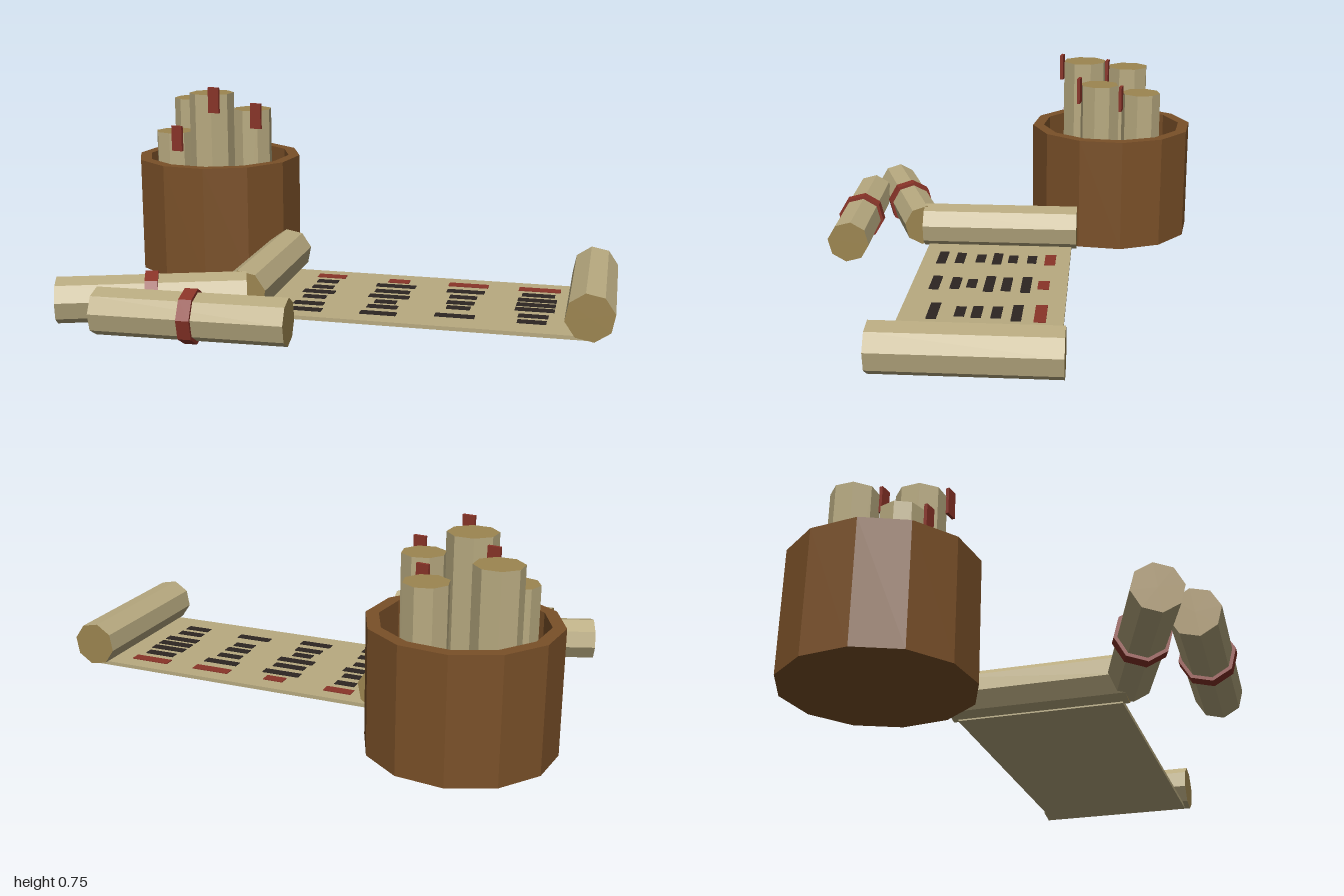
import * as THREE from 'three';

const mat = (color, extra = {}) => new THREE.MeshStandardMaterial({ color, flatShading: true, ...extra });
const paper = mat(0xb8aa80);
const paperEnd = mat(0x9c8550);
const wood = mat(0x7a5028);
const red = mat(0x8a3428);
const ink = mat(0x2c2522);

function add(parent, name, geometry, material, x = 0, y = 0, z = 0) {
  const mesh = new THREE.Mesh(geometry, material);
  mesh.name = name;
  mesh.position.set(x, y, z);
  parent.add(mesh);
  return mesh;
}

// Eight-sided paper roll, upright, with darker ends; spin turns its facets
function roll(radius, length, spin = 0) {
  return new THREE.CylinderGeometry(radius, radius, length, 8).rotateY(spin);
}
const rollMaterials = [paper, paperEnd, paperEnd];

// Hollow twelve-sided tub
function makeTub() {
  const profile = [[0, 0], [0.33, 0], [0.33, 0.445], [0.285, 0.445], [0.285, 0.03], [0, 0.03]]
    .map(([r, y]) => new THREE.Vector2(r, y));
  const tub = new THREE.Group();
  tub.name = 'scrollTub';
  add(tub, 'tub', new THREE.LatheGeometry(profile, 12), wood);

  // Standing rolls: x, z, radius, top height
  const standing = [
    [-0.115, -0.083, 0.084, 0.667],
    [0.11, -0.105, 0.079, 0.6],
    [-0.16, 0.094, 0.076, 0.555],
    [-0.003, 0.115, 0.088, 0.713],
    [0.152, 0.072, 0.077, 0.645],
  ];
  standing.forEach(([x, z, r, top], i) => {
    const h = top - 0.02;
    add(tub, 'standingScroll', roll(r, h, 0.2 + i * 0.25), rollMaterials, x, 0.02 + h / 2, z);
    const tag = add(tub, 'scrollTag', new THREE.BoxGeometry(0.045, 0.1, 0.012), red,
      x + 0.028, top - 0.018, z + r + 0.008);
    tag.rotation.y = -0.3;
  });
  tub.position.set(-0.59, 0, -0.42);
  return tub;
}

// Unrolled scroll: sheet, a roll at each end, columns of marks
function makeOpenScroll() {
  const scroll = new THREE.Group();
  scroll.name = 'openScroll';
  add(scroll, 'sheet', new THREE.BoxGeometry(1.19, 0.014, 0.575), paper, 0, 0.013, 0);
  for (const side of [-1, 1]) {
    add(scroll, 'endRoll', roll(0.085, 0.615, 0.2).rotateX(Math.PI / 2), rollMaterials, side * 0.598, 0.092, 0);
  }

  // Each column: x, then [z, width] per mark; the first mark is the red heading
  const columns = [
    [-0.402, [[-0.211, 0.11], [-0.14, 0.08], [-0.066, 0.08], [-0.005, 0.12], [0.06, 0.085], [0.14, 0.11], [0.211, 0.13]]],
    [-0.135, [[-0.2, 0.08], [-0.136, 0.15], [-0.064, 0.13], [0, 0.15], [0.065, 0.08], [0.125, 0.11], [0.2, 0.13]]],
    [0.132, [[-0.205, 0.15], [-0.123, 0.14], [-0.052, 0.1], [0.017, 0.1], [0.076, 0.085], [0.17, 0.14]]],
    [0.4, [[-0.205, 0.155], [-0.134, 0.12], [-0.072, 0.14], [-0.016, 0.14], [0.04, 0.14], [0.114, 0.105], [0.178, 0.1]]],
  ];
  for (const [x, marks] of columns) {
    marks.forEach(([z, width], i) => {
      const heading = i === 0;
      add(scroll, heading ? 'headingMark' : 'inkMark',
        new THREE.BoxGeometry(width, 0.004, heading ? 0.042 : 0.036), heading ? red : ink, x, 0.021, z);
    });
  }
  scroll.position.set(0.277, 0, 0.142);
  scroll.rotation.y = -0.137;
  return scroll;
}

// Closed scroll lying down, tied with a band
function makeTiedScroll(x, z, length, turn) {
  const scroll = new THREE.Group();
  scroll.name = 'tiedScroll';
  const spin = 0.14;
  add(scroll, 'scrollRoll', roll(0.081, length, spin).rotateZ(Math.PI / 2), rollMaterials);
  add(scroll, 'band', roll(0.093, 0.045, spin).rotateZ(Math.PI / 2), red);
  scroll.position.set(x, 0.093, z);
  scroll.rotation.y = turn;
  return scroll;
}

export function createModel() {
  const model = new THREE.Group();
  model.name = 'scrollSet';
  model.add(
    makeTub(),
    makeOpenScroll(),
    makeTiedScroll(-0.66, 0.433, 0.65, 0.2),
    makeTiedScroll(-0.48, 0.63, 0.66, -0.1),
  );
  return model;
}
